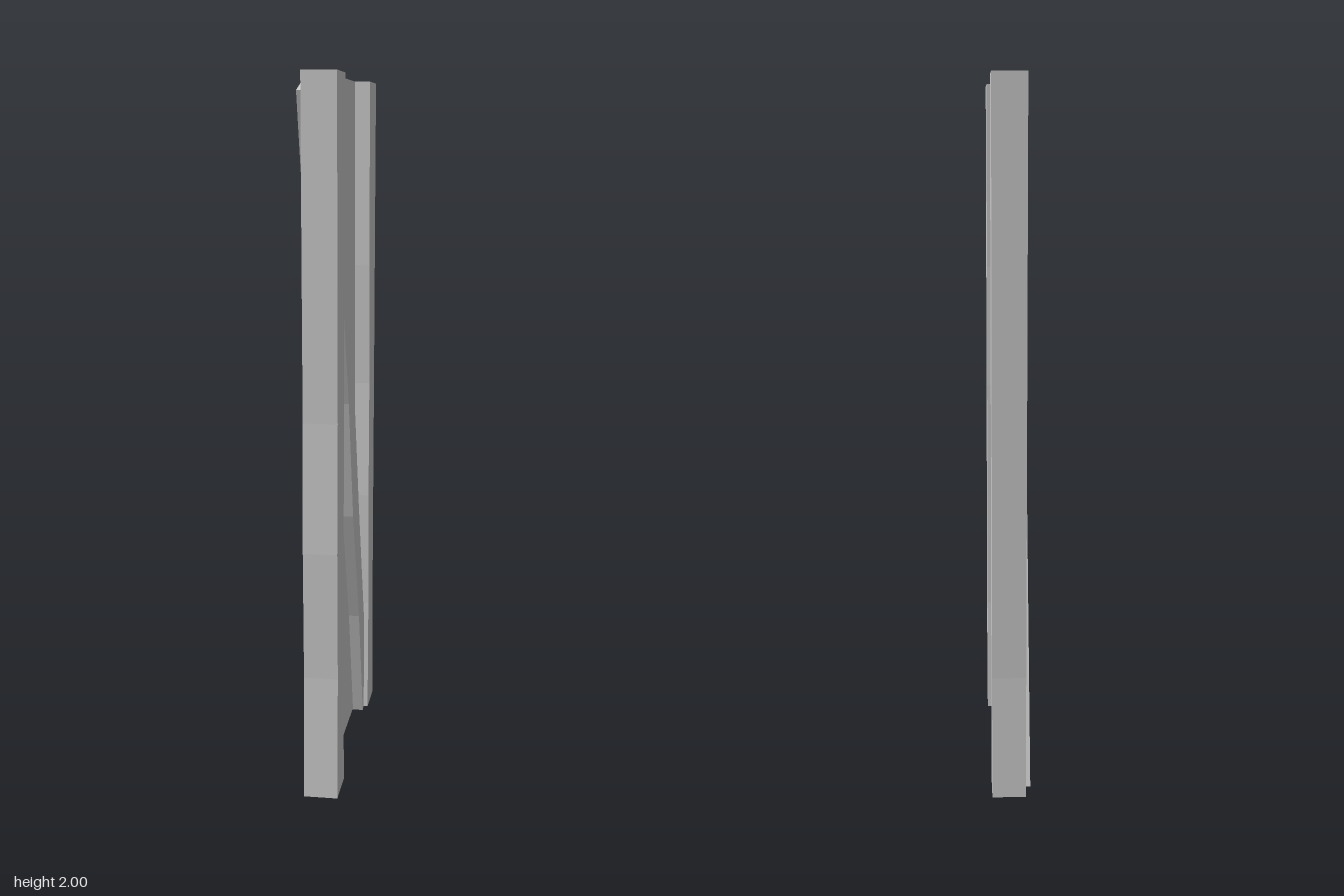
import * as THREE from 'three';

const material = new THREE.MeshStandardMaterial({ color: 0xcccccc, flatShading: true });

// Board cut from an outline of [z, y] points, filling x0..x1
function board(name, outline, x0, x1) {
  const shape = new THREE.Shape(outline.map(([z, y]) => new THREE.Vector2(-z, y)));
  const geometry = new THREE.ExtrudeGeometry(shape, { depth: x1 - x0, bevelEnabled: false });
  geometry.rotateY(Math.PI / 2).translate(x0, 0, 0);
  const mesh = new THREE.Mesh(geometry, material);
  mesh.name = name;
  return mesh;
}

// Close an outline from two edges that both run from top to bottom
const between = (a, b) => [...a, ...[...b].reverse()];

export function createModel() {
  const group = new THREE.Group();
  group.name = 'plankDoor';

  // Thin infill panel
  group.add(board('panel', [[-0.3, 0.01], [0.31, 0.01], [0.31, 2], [-0.3, 2]], -0.033, 0.008));

  // Worn upright posts: edge positions at matching heights
  const heights = [2, 1.45, 1.08, 0.72, 0.36, 0.01];
  const edge = (zs) => zs.map((z, i) => [z, heights[i]]);
  group.add(board('frontPost', between(
    edge([0.41, 0.405, 0.4, 0.41, 0.4, 0.41]),
    edge([0.262, 0.282, 0.28, 0.29, 0.295, 0.28])), -0.042, 0.053));
  group.add(board('backPost', between(
    edge([-0.262, -0.262, -0.275, -0.265, -0.273, -0.262]),
    edge([-0.41, -0.4, -0.395, -0.388, -0.382, -0.392])), -0.042, 0.053));

  // Left brace, fitted between the posts
  group.add(board('leftBrace', between(
    [[0.262, 2], [0.1, 1.46], [-0.02, 1.1], [-0.13, 0.72], [-0.275, 0.28]],
    [[0.28, 1.58], [0.21, 1.39], [0.095, 1.08], [0, 0.72], [-0.14, 0.36], [-0.24, 0.005], [-0.262, 0.01]]),
  0, 0.04));

  // Right brace, laid across the posts
  group.add(board('rightBrace', between(
    [[0.255, 1.995], [-0.06, 1], [-0.368, 0.03]],
    [[0.4, 1.95], [0.26, 1.5], [0.08, 1.12], [-0.02, 0.82], [-0.13, 0.42], [-0.245, 0]]),
  -0.055, -0.025));

  return group;
}
